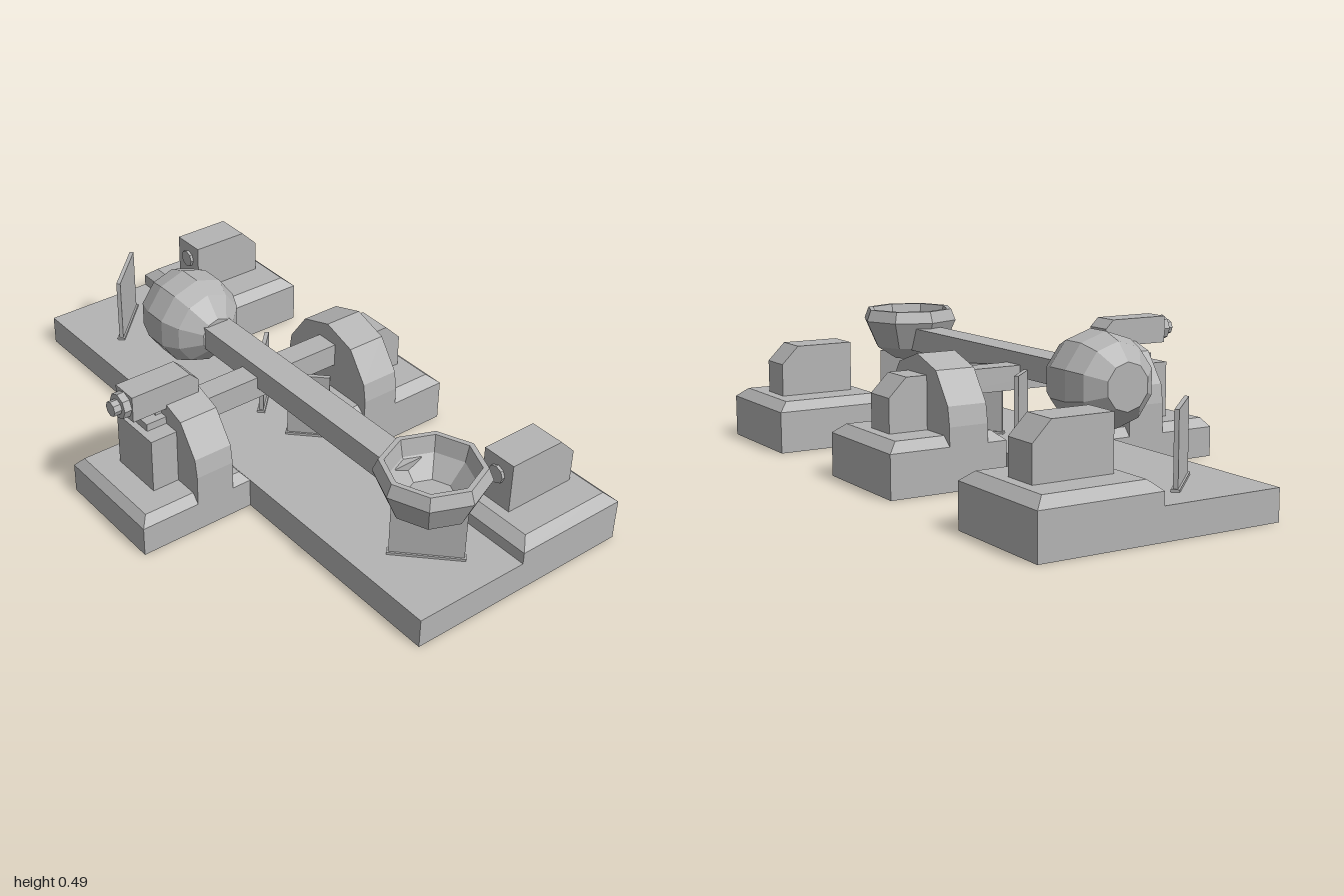
import * as THREE from 'three';

export function createModel() {
  const root = new THREE.Group();
  const grey = new THREE.MeshStandardMaterial({ color: 0xb4b4b4, flatShading: true });
  grey.name = 'plain grey';
  const doubleGrey = grey;

  const add = (name, geometry, x = 0, y = 0, z = 0) => {
    const mesh = new THREE.Mesh(geometry, doubleGrey);
    mesh.name = name;
    mesh.position.set(x, y, z);
    root.add(mesh);
    return mesh;
  };

  // Box given by its minimum and maximum on each axis
  const box = (name, x0, x1, y0, y1, z0, z1) =>
    add(name, new THREE.BoxGeometry(x1 - x0, y1 - y0, z1 - z0),
      (x0 + x1) / 2, (y0 + y1) / 2, (z0 + z1) / 2);

  const shapeOf = (points) => new THREE.Shape(points.map(([a, b]) => new THREE.Vector2(a, b)));
  const extrude = (points, depth) =>
    new THREE.ExtrudeGeometry(shapeOf(points), { depth, bevelEnabled: false }).translate(0, 0, -depth / 2);

  // Square plinth with a sloping rim at the top
  const plinth = (name, x, z, height, inset) => {
    box(name, x - 0.2, x + 0.2, 0, height, z - 0.2, z + 0.2);
    const rim = new THREE.BoxGeometry(0.4, 0.03, 0.4);
    const p = rim.attributes.position;
    const k = (0.2 - inset) / 0.2;
    for (let i = 0; i < p.count; i++) {
      if (p.getY(i) > 0) p.setXYZ(i, p.getX(i) * k, p.getY(i), p.getZ(i) * k);
    }
    add(name + 'Rim', rim, x, height + 0.015, z);
  };

  // Ground slab and plinths
  box('baseSlab', -0.2, 0.2, 0, 0.1, -1, 1);
  for (const z of [-0.8, 0, 0.8]) plinth('leftPlinth', 0.4, z, 0.14, 0.035);
  plinth('rightPlinth', -0.4, 0, 0.1, 0.025);

  // Housings with a chamfered outer edge, and lens knobs on the inner faces
  const housing = [[0.27, 0.16], [0.53, 0.16], [0.53, 0.28], [0.47, 0.34], [0.27, 0.34]];
  for (const z of [-0.805, 0, 0.8]) {
    add('housing', extrude(housing, 0.12), 0, 0, z);
    if (z === 0) continue;
    const ring = add('lensRing', new THREE.CylinderGeometry(0.03, 0.03, 0.012, 8), 0.266, 0.28, z);
    ring.rotation.z = Math.PI / 2;
  }

  // Arched axle supports
  const arch = [[-0.2, 0.001], [0.2, 0.001], [0.2, 0.2], [0.19, 0.262], [0.118, 0.362],
    [0, 0.4], [-0.118, 0.362], [-0.19, 0.262], [-0.2, 0.2]];
  for (const side of [-1, 1]) {
    const support = add('axleArch', extrude(arch, 0.133), side * 0.333);
    support.rotation.y = Math.PI / 2;
  }

  // Axle and balance beam
  box('axle', -0.47, 0.4, 0.262, 0.34, -0.04, 0.04);
  box('beam', -0.05, 0.05, 0.3, 0.38, -0.3, 0.7);

  // Faceted counterweight, its poles along the beam
  const ballProfile = [[0, -0.155], [0.075, -0.155], [0.13, -0.105], [0.153, -0.04],
    [0.153, 0.04], [0.125, 0.1], [0.06, 0.155], [0, 0.155]];
  const ball = add('counterweight',
    new THREE.LatheGeometry(ballProfile.map(([r, y]) => new THREE.Vector2(r, y)), 10), 0, 0.337, -0.4);
  ball.rotation.x = Math.PI / 2;

  // Octagonal bowl at the other end of the beam
  const bowlProfile = [[0, 0.255], [0.06, 0.26], [0.13, 0.305], [0.173, 0.4], [0.157, 0.44],
    [0.14, 0.44], [0.128, 0.385], [0.075, 0.325], [0, 0.325]];
  add('bowl', new THREE.LatheGeometry(bowlProfile.map(([r, y]) => new THREE.Vector2(r, y)), 8), 0, 0, 0.8);

  // Upright diagonal mirrors, each on a thin foot
  const mirrors = [
    [0, -0.81, 0.225, 0.33, 1], [0, 0.8, 0.225, 0.28, -1],
    [0.098, -0.122, 0.135, 0.33, 1], [0.098, 0.116, 0.135, 0.33, -1],
  ];
  for (const [x, z, width, top, turn] of mirrors) {
    const height = top - 0.1;
    const plate = add('mirrorPlate', new THREE.BoxGeometry(width, height, 0.014), x, 0.1 + height / 2, z);
    const foot = add('mirrorFoot', new THREE.BoxGeometry(width + 0.01, 0.008, 0.026), x, 0.104, z);
    plate.rotation.y = foot.rotation.y = turn * Math.PI / 4;
  }

  // Emitter stand, body and stepped nozzle on the right plinth
  box('emitterStand', -0.492, -0.39, 0.12, 0.315, -0.095, 0.095);
  box('emitterPost', -0.422, -0.4, 0.31, 0.38, -0.015, 0.015);
  const body = [[-0.52, 0.373], [-0.28, 0.373], [-0.28, 0.433], [-0.31, 0.462], [-0.52, 0.462]];
  add('emitterBody', extrude(body, 0.09));
  for (const [x, length, radius] of [[-0.532, 0.026, 0.042], [-0.557, 0.026, 0.025]]) {
    const nozzle = add('emitterNozzle', new THREE.CylinderGeometry(radius, radius, length, 8), x, 0.418, 0);
    nozzle.rotation.z = Math.PI / 2;
  }

  return root;
}
